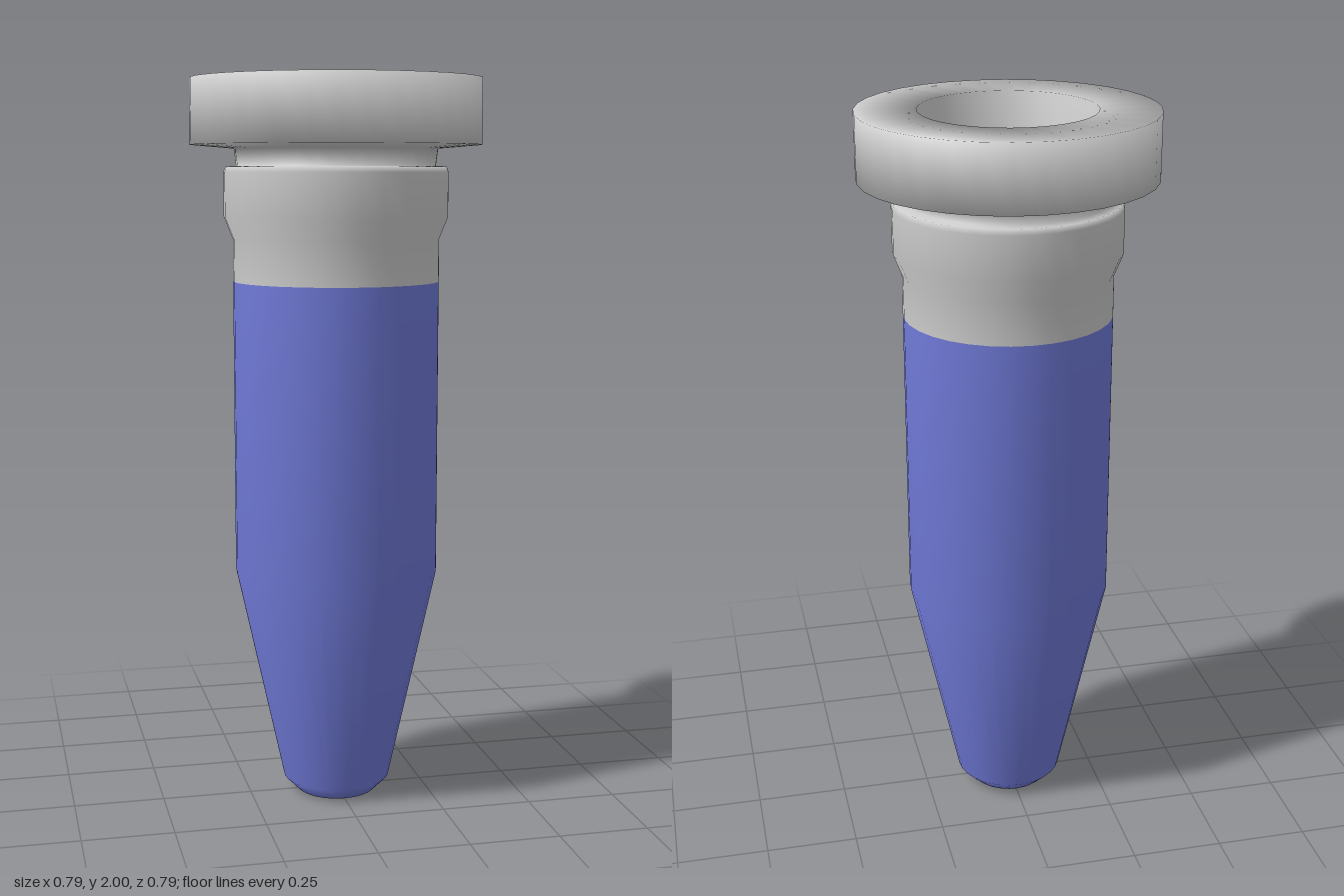
import * as THREE from 'three';

const SIDES = 32;

// Revolves a [radius, height] profile: outer wall listed upwards, inner wall downwards
function turned(name, profile, color) {
  const points = profile.map(([r, y]) => new THREE.Vector2(r, y));
  const mesh = new THREE.Mesh(
    new THREE.LatheGeometry(points, SIDES),
    new THREE.MeshStandardMaterial({ color, side: THREE.DoubleSide })
  );
  mesh.name = name;
  return mesh;
}

export function createModel() {
  const group = new THREE.Group();
  group.name = 'taperedTube';

  // Coloured body: chamfered foot, cone, straight wall
  group.add(turned('bodyOuter', [
    [0, 0], [0.11, 0], [0.15, 0.04], [0.283, 0.645], [0.283, 1.455],
  ], 0x707ad8));

  // Hollow inside of the body, closed near the foot
  group.add(turned('bodyInner', [
    [0.235, 1.455], [0.235, 0.65], [0.11, 0.08], [0, 0.05],
  ], 0x707ad8));

  // Grey upper section: collar, neck, wide flange and the bore
  group.add(turned('collarAndFlange', [
    [0.283, 1.455], [0.283, 1.57], [0.307, 1.63], [0.307, 1.75], [0.302, 1.765],
    [0.272, 1.767], [0.278, 1.813], [0.397, 1.823], [0.397, 2],
    [0.235, 2], [0.235, 1.455],
  ], 0xcccccc));

  return group;
}
